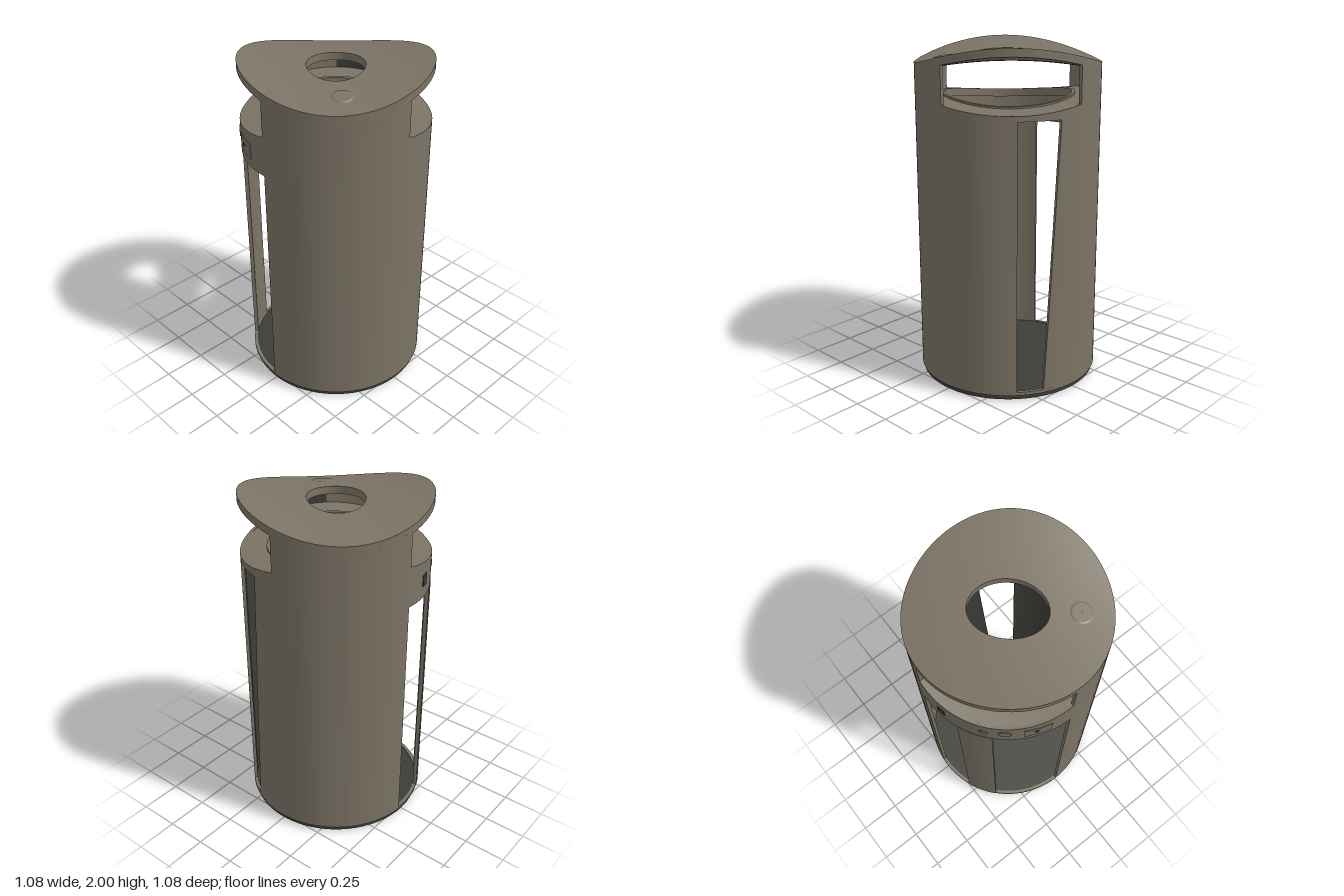
import * as THREE from 'three';
import { mergeGeometries } from 'three/addons/utils/BufferGeometryUtils.js';

const R = 0.54, RI = 0.52;
const rad = THREE.MathUtils.degToRad;
const mix = THREE.MathUtils.lerp;

// saddle-shaped levels of the lid and of the shelf below it
const lidY = (x, z) => 1.943 - 0.057 * 2 * x * z / (R * R);
const shelfY = (x, z) => 1.69 + 0.04 * 2 * x * z / (R * R);
const at = (f, deg) => f(R * Math.sin(rad(deg)), R * Math.cos(rad(deg)));

// grid surface facing du x dv
function surface(nu, nv, fn) {
  const p = [], idx = [];
  for (let j = 0; j <= nv; j++) for (let i = 0; i <= nu; i++) p.push(...fn(i / nu, j / nv));
  for (let j = 0; j < nv; j++) for (let i = 0; i < nu; i++) {
    const a = j * (nu + 1) + i, c = a + nu + 1;
    idx.push(a, a + 1, c + 1, a, c + 1, c);
  }
  const g = new THREE.BufferGeometry();
  g.setAttribute('position', new THREE.Float32BufferAttribute(p, 3));
  g.setIndex(idx);
  g.computeVertexNormals();
  return g;
}

// six-faced curved block; P(a, t, s): a around, t inner to outer, s bottom to top
// group 0 is everything but the inner face, group 1 the inner face
function block(P, n, { closed = false, nr = 1, ns = 1 } = {}) {
  const outside = [
    surface(n, ns, (u, v) => P(u, 1, v)),
    surface(n, nr, (u, v) => P(u, 1 - v, 1)),
    surface(n, nr, (u, v) => P(1 - u, 1 - v, 0)),
  ];
  if (!closed) {
    outside.push(surface(1, ns, (u, v) => P(0, u, v)));
    outside.push(surface(1, ns, (u, v) => P(1, 1 - u, v)));
  }
  const inside = surface(n, ns, (u, v) => P(1 - u, 0, v));
  return mergeGeometries([mergeGeometries(outside), inside], true);
}

export function createModel() {
  const group = new THREE.Group();
  const body = new THREE.MeshStandardMaterial({ color: 0x7b7365 });
  body.name = 'warm grey metal';
  const dark = new THREE.MeshStandardMaterial({ color: 0x3c3d37 });
  dark.name = 'dark grey';

  const add = (name, geometry, material) => {
    const mesh = new THREE.Mesh(geometry, material);
    mesh.name = name;
    group.add(mesh);
    return mesh;
  };

  // curved wall panel; angles in degrees from the front towards +x
  // bottom and top are functions of the angle, lean shifts the start angle at the bottom
  const wall = (name, a0, a1, bottom, top, inner = body, { r0 = RI, r1 = R, lean = 0, outer = body } = {}) => {
    const P = (a, t, s) => {
      const deg = mix(a0 + lean * (1 - s), a1, a), r = mix(r0, r1, t);
      return [r * Math.sin(rad(deg)), mix(bottom(deg), top(deg), s), r * Math.cos(rad(deg))];
    };
    const n = Math.max(2, Math.ceil((a1 - a0) / 3));
    return add(name, block(P, n, { ns: lean ? 12 : 1 }), [outer, inner]);
  };
  const level = (y) => () => y;
  const shelfLine = (d) => at(shelfY, d);
  const lidLine = (d) => at(lidY, d) - 0.03;

  // base and floor
  const base = new THREE.LatheGeometry([
    [0, 0], [0.515, 0], [0.53, 0.008], [0.53, 0.035], [0.525, 0.045], [0, 0.045],
  ].map(([x, y]) => new THREE.Vector2(x, y)), 96).toNonIndexed();
  base.computeVertexNormals();
  add('base', base, dark);

  // closed walls that run on up into the hood
  wall('leftFrontWall', 0, 45, level(0.035), lidLine, body);
  wall('leftWall', 45, 91, level(0.035), lidLine, dark);
  wall('backWall', 165, 180, level(0.035), shelfLine, dark, { lean: -10 });
  wall('backHoodWall', 180, 225, level(0.035), lidLine, dark);
  wall('rightBackWall', 225, 265, level(0.035), lidLine, body);
  wall('leftBackWall', 91, 138, level(0.035), shelfLine, dark);

  // rear slot frame
  wall('rearSlotHeader', 138, 165, level(1.62), shelfLine, body);
  wall('rearSlotSill', 138, 165, level(0.035), level(0.055), body);

  // front opening frame with its upright
  wall('frontBand', 265, 360, level(1.46), shelfLine, body);
  wall('frontSill', 265, 360, level(0.035), level(0.05), body);
  wall('frontUpright', 292, 313, level(0.04), level(1.47), body, { r1: 0.543 });

  // lid with an elliptical hole, its long axis on the diagonal
  const lid = (a, t, s) => {
    const th = a * Math.PI * 2, d = th - Math.PI / 4;
    const hole = 1 / Math.hypot(Math.cos(d) / 0.21, Math.sin(d) / 0.163);
    const r = mix(hole, R, t), x = r * Math.sin(th), z = r * Math.cos(th);
    return [x, lidY(x, z) - 0.045 * (1 - s), z];
  };
  add('lid', block(lid, 120, { closed: true, nr: 12 }), [body, body]);

  // faint raised pad on the lid
  const pad = (a, t, s) => {
    const th = a * Math.PI * 2, r = mix(0.001, 0.065, t) * (s ? 0.8 : 1);
    const x = 0.285 + r * Math.sin(th), z = 0.235 + r * Math.cos(th);
    return [x, lidY(x, z) + (s ? 0.005 : -0.002), z];
  };
  add('lidPad', block(pad, 24, { closed: true }), [body, body]);

  // shelf below the hood, with a raised lip round its hole
  const ring = (r0, r1, y0, y1) => (a, t, s) => {
    const th = a * Math.PI * 2, r = mix(r0, r1, t);
    const x = r * Math.sin(th), z = r * Math.cos(th);
    return [x, shelfY(x, z) + mix(y0, y1, s), z];
  };
  add('shelf', block(ring(0.38, 0.525, -0.03, -0.002), 96, { closed: true, nr: 4 }), [body, body]);
  add('shelfLip', block(ring(0.37, 0.39, -0.04, 0.008), 96, { closed: true }), [body, body]);

  // lock plate, keyhole and slot on the front band
  const onBand = { r0: 0.535, r1: 0.544 };
  wall('lockPlate', 331, 347, level(1.51), level(1.605), body, onBand);
  wall('bandSlot', 279, 284, level(1.53), level(1.6), dark, { ...onBand, outer: dark });
  const disc = (name, deg, y, r, depth, material) => {
    const mesh = add(name, new THREE.CylinderGeometry(r, r, 0.008, 20).rotateX(Math.PI / 2), material);
    mesh.position.set(depth * Math.sin(rad(deg)), y, depth * Math.cos(rad(deg)));
    mesh.rotation.y = rad(deg);
  };
  disc('keyhole', 338, 1.565, 0.012, 0.543, dark);
  disc('lockButton', 320, 1.57, 0.035, 0.54, body);
  disc('smallButton', 308, 1.56, 0.025, 0.54, body);

  return group;
}
